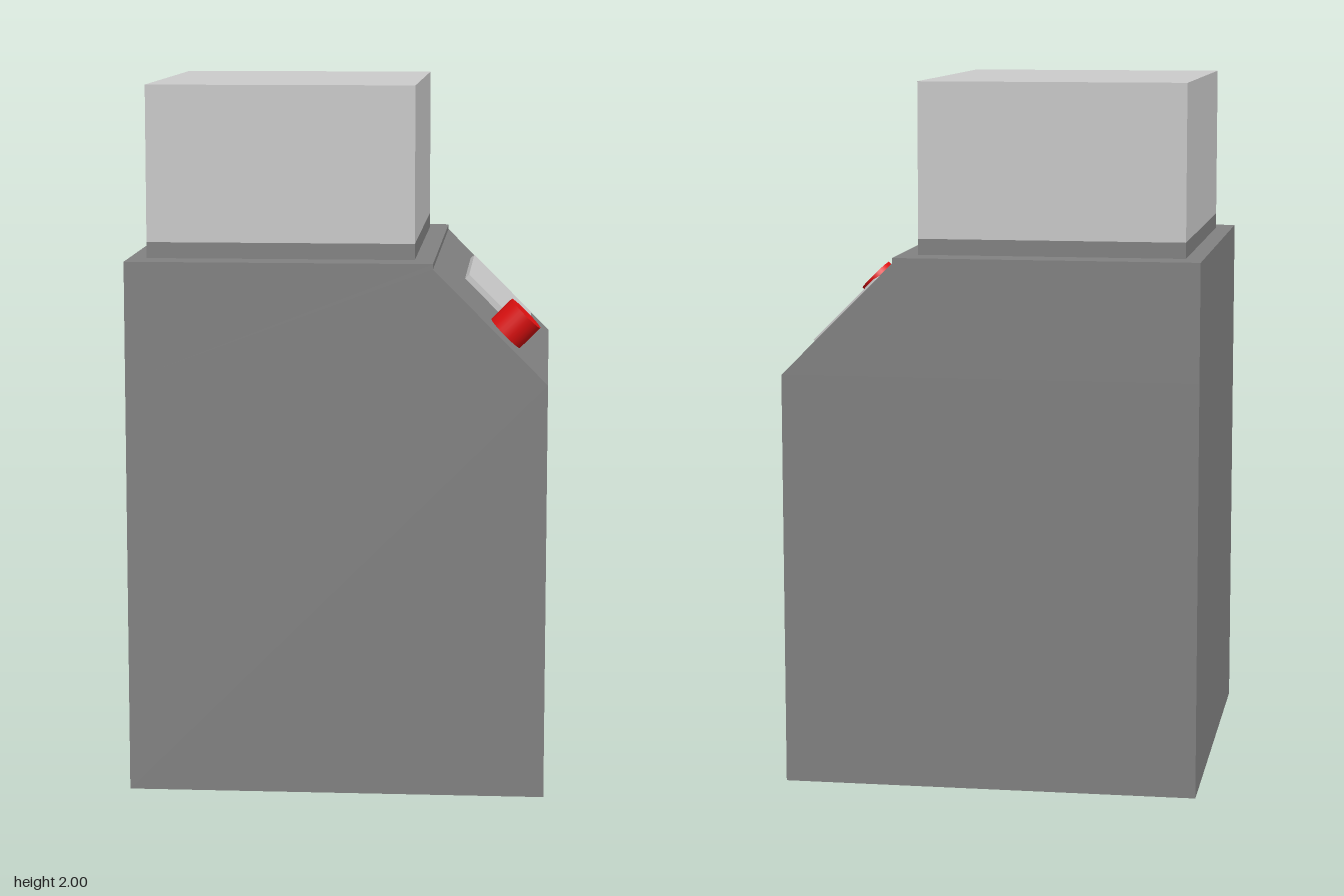
import * as THREE from 'three';

const material = (color) => new THREE.MeshStandardMaterial({ color });

export function createModel() {
  const model = new THREE.Group();
  const dark = material(0x828282);
  const light = material(0xcccccc);
  const red = material(0xe01010);

  const add = (name, geometry, mat, x, y, z, parent = model) => {
    const mesh = new THREE.Mesh(geometry, mat);
    mesh.name = name;
    mesh.position.set(x, y, z);
    parent.add(mesh);
    return mesh;
  };
  // Box given by its minimum and maximum corners
  const box = (name, mat, a, b, parent) => add(
    name,
    new THREE.BoxGeometry(b[0] - a[0], b[1] - a[1], b[2] - a[2]),
    mat,
    (a[0] + b[0]) / 2, (a[1] + b[1]) / 2, (a[2] + b[2]) / 2,
    parent,
  );

  // Cabinet
  box('cabinet', dark, [-0.59, 0, -0.59], [0.59, 1.18, 0.59]);

  // Upper housing with sloping control face and a thin top plate step
  const profile = new THREE.Shape([
    [-0.59, 1.18], [0.59, 1.18], [0.27, 1.5], [0.27, 1.515], [-0.59, 1.515],
  ].map(([x, y]) => new THREE.Vector2(x, y)));
  add('upperHousing',
    new THREE.ExtrudeGeometry(profile, { depth: 1.18, bevelEnabled: false }),
    dark, 0, 0, -0.59);

  // Hood on its dark collar
  box('hoodCollar', dark, [-0.54, 1.515, -0.49], [0.215, 1.56, 0.487]);
  box('hood', light, [-0.54, 1.56, -0.49], [0.215, 2, 0.487]);

  // Control panel: local y points out of the slope, local x runs down it
  const panel = new THREE.Group();
  panel.name = 'controlPanel';
  panel.position.set(0.43, 1.34, 0);
  panel.rotation.z = -Math.PI / 4;
  model.add(panel);
  box('screen', light, [-0.12, -0.01, -0.42], [0.132, 0.017, 0.135], panel);
  add('knob', new THREE.CylinderGeometry(0.058, 0.058, 0.081, 32), red, 0.055, 0.0405, 0.413, panel);

  return model;
}
